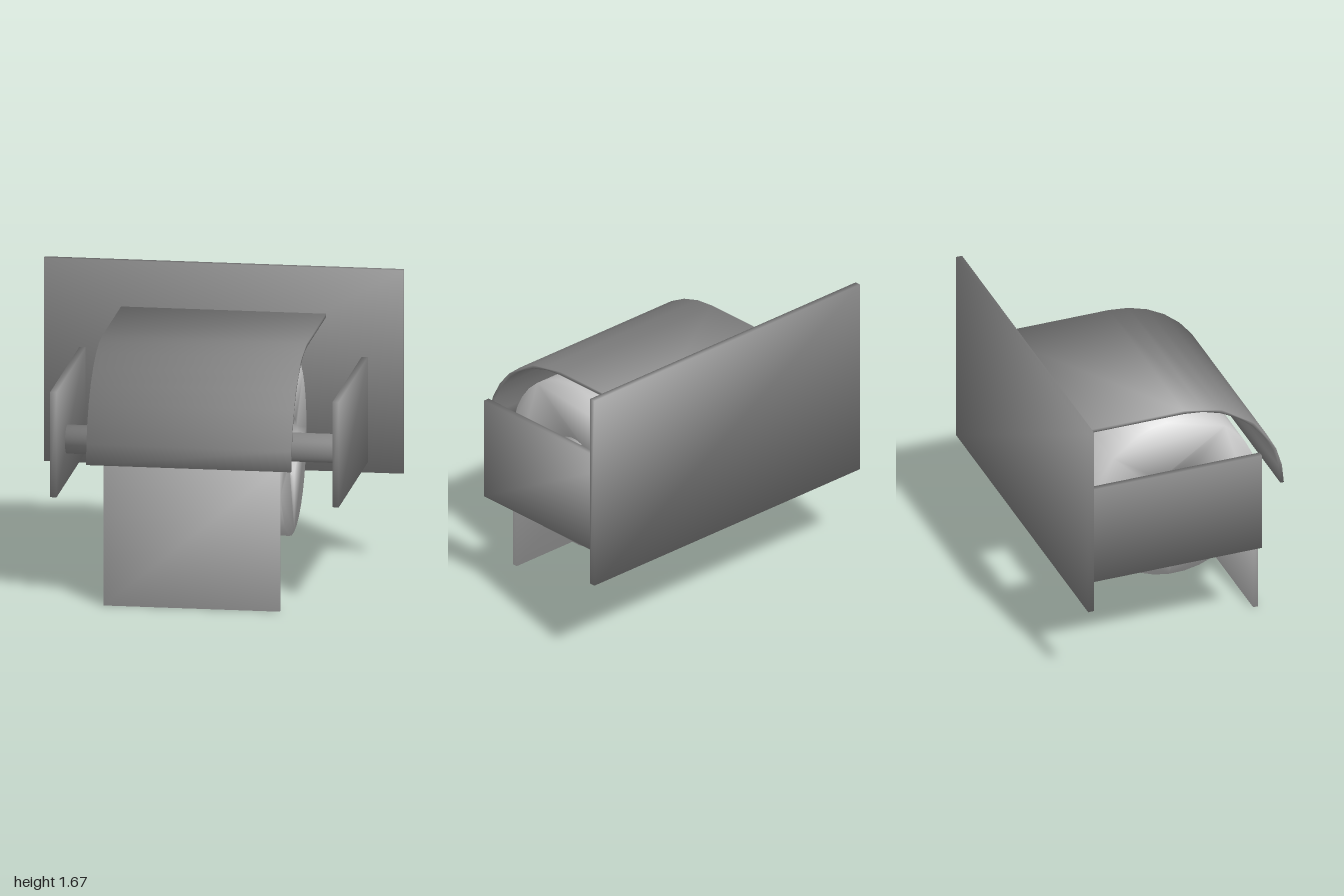
import * as THREE from 'three';
import { mergeVertices } from 'three/addons/utils/BufferGeometryUtils.js';

const AXIS_Y = 0.815, AXIS_Z = 0.05; // centre of the paper roll

// Welds all corners and gives each one angle-weighted normal, so shading runs over the edges
function smooth(source) {
  source.deleteAttribute('normal');
  source.deleteAttribute('uv');
  const geometry = mergeVertices(source, 1e-4);
  const { position } = geometry.attributes, index = geometry.index.array;
  const sums = Array.from({ length: position.count }, () => new THREE.Vector3());
  for (let i = 0; i < index.length; i += 3) {
    const ids = [index[i], index[i + 1], index[i + 2]];
    const p = ids.map((id) => new THREE.Vector3().fromBufferAttribute(position, id));
    const normal = new THREE.Triangle(...p).getNormal(new THREE.Vector3());
    ids.forEach((id, k) => {
      const toNext = p[(k + 1) % 3].clone().sub(p[k]);
      const toLast = p[(k + 2) % 3].clone().sub(p[k]);
      sums[id].addScaledVector(normal, toNext.angleTo(toLast));
    });
  }
  const normals = sums.flatMap((n) => n.normalize().toArray());
  geometry.setAttribute('normal', new THREE.Float32BufferAttribute(normals, 3));
  return geometry;
}

export function createModel() {
  const model = new THREE.Group();
  const metal = new THREE.MeshStandardMaterial({ color: 0x888888 });
  const paperWhite = new THREE.MeshStandardMaterial({ color: 0xcccccc });

  const add = (name, geometry, material, x = 0, y = 0, z = 0) => {
    const mesh = new THREE.Mesh(smooth(geometry), material);
    mesh.name = name;
    mesh.position.set(x, y, z);
    model.add(mesh);
  };

  // Extrudes a side profile drawn as (z, y) across the width, centred on x = 0
  const extrudeAcross = (shape, width, curveSegments) => {
    const geometry = new THREE.ExtrudeGeometry(shape, { depth: width, curveSegments, bevelEnabled: false });
    geometry.translate(0, 0, -width / 2);
    return geometry.rotateY(-Math.PI / 2);
  };

  // Wall plate
  add('wallPlate', new THREE.BoxGeometry(2, 1.15, 0.035), metal, 0, 1.095, -0.645);

  // Side arms
  for (const [name, side] of [['leftArm', 1], ['rightArm', -1]]) {
    add(name, new THREE.BoxGeometry(0.035, 0.595, 1.07), metal, side * 0.785, 0.875, -0.095);
  }

  // Rod between the arms
  const rod = new THREE.CylinderGeometry(0.08, 0.08, 1.55, 32);
  add('rod', rod.rotateZ(Math.PI / 2), metal, 0, AXIS_Y, AXIS_Z);

  // Paper roll with its hanging sheet
  const radius = 0.49, sheetFront = AXIS_Z + radius, sheetBack = 0.51;
  const sheetAngle = Math.acos((sheetBack - AXIS_Z) / radius);
  const paper = new THREE.Shape();
  paper.absarc(AXIS_Z, AXIS_Y, radius, 0, Math.PI * 2 - sheetAngle, false);
  paper.lineTo(sheetBack, 0);
  paper.lineTo(sheetFront, 0);
  paper.closePath();
  const core = new THREE.Path();
  core.absarc(AXIS_Z, AXIS_Y, 0.16, 0, Math.PI * 2, true);
  paper.holes.push(core);
  add('paperRoll', extrudeAcross(paper, 0.98, 16), paperWhite);

  // Curved cover: flat from the plate, then a quarter turn down the front
  const cz = 0.07, cy = 0.82, outer = 0.59, inner = 0.57, back = -0.632;
  const cover = new THREE.Shape();
  cover.absarc(cz, cy, outer, 0, Math.PI / 2, false);
  cover.lineTo(back, cy + outer);
  cover.lineTo(back, cy + inner);
  cover.absarc(cz, cy, inner, Math.PI / 2, 0, true);
  cover.closePath();
  add('cover', extrudeAcross(cover, 1.14, 4), metal);

  return model;
}
